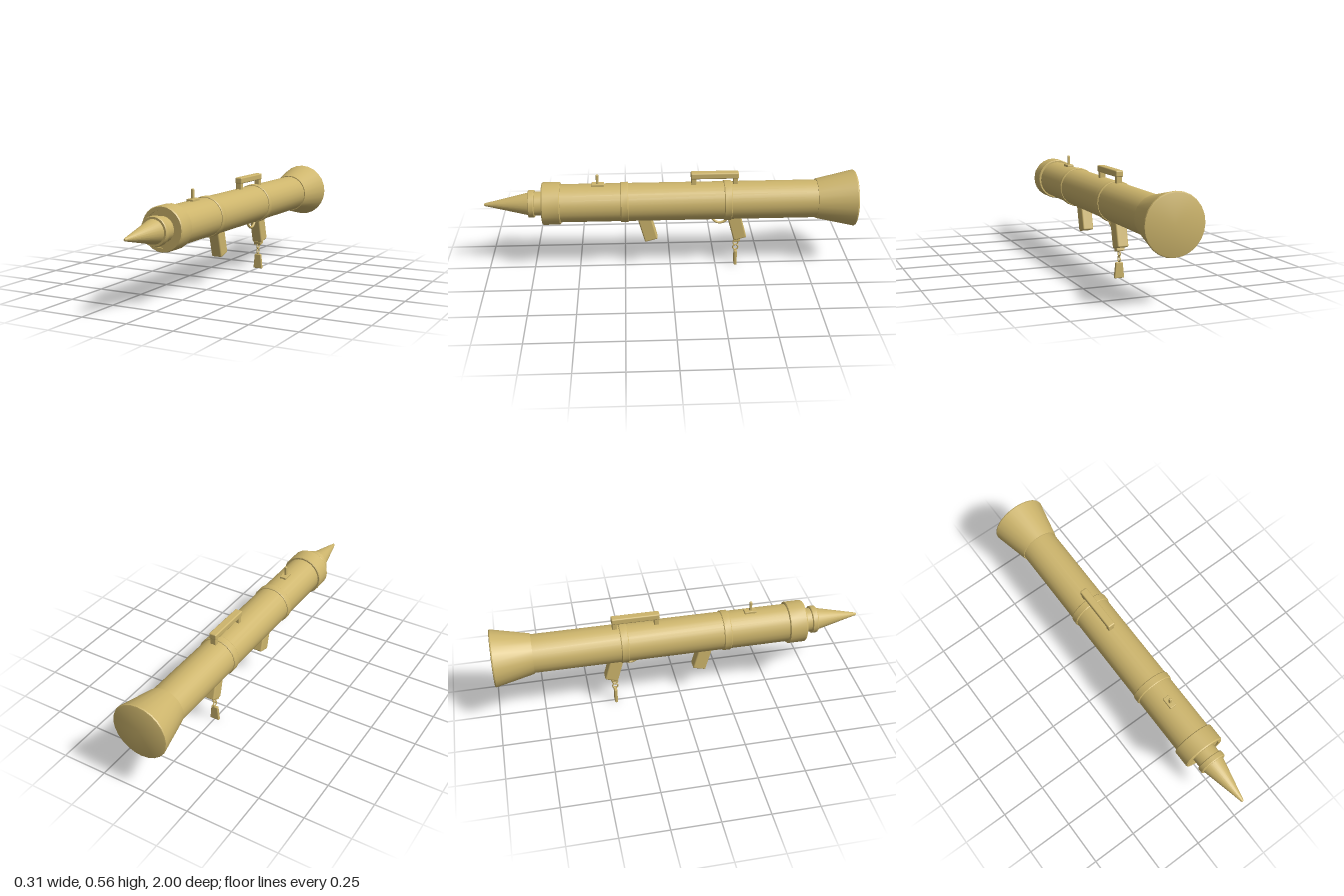
import * as THREE from 'three';
import { toCreasedNormals } from 'three/addons/utils/BufferGeometryUtils.js';
import { RoundedBoxGeometry } from 'three/addons/geometries/RoundedBoxGeometry.js';

const AXIS = 0.39; // height of the tube's centre line

export function createModel() {
  const model = new THREE.Group();
  const brass = new THREE.MeshStandardMaterial({ color: 0xcdb56c });
  brass.name = 'sand gold';

  function add(name, geometry, x, y, z, tilt = 0) {
    const mesh = new THREE.Mesh(geometry, brass);
    mesh.name = name;
    mesh.position.set(x, y, z);
    mesh.rotation.x = tilt;
    model.add(mesh);
    return mesh;
  }

  // Turned part around the centre line, profile as [radius, z] from back to front
  function turned(name, profile) {
    const points = profile.map(([r, z]) => new THREE.Vector2(r, z));
    const geometry = new THREE.LatheGeometry(points, 24).rotateX(Math.PI / 2);
    return add(name, toCreasedNormals(geometry, 0.5), 0, AXIS, 0);
  }

  const box = (w, h, d, r) => new RoundedBoxGeometry(w, h, d, 2, r);

  // Launch tube and flared exhaust
  turned('tube', [[0, -0.8], [0.103, -0.8], [0.103, 0.6], [0, 0.6]]);
  turned('exhaustBell', [[0, -1], [0.146, -1], [0.151, -0.998], [0.153, -0.992],
    [0.108, -0.79], [0.1, -0.79]]);

  // Raised bands
  for (const [name, z] of [['frontBand', 0.247], ['rearBand', -0.308]]) {
    turned(name, [[0.1, z - 0.021], [0.106, z - 0.021], [0.109, z - 0.017],
      [0.109, z + 0.017], [0.106, z + 0.021], [0.1, z + 0.021]]);
  }

  // Muzzle ring with a shallow recessed face
  turned('muzzleRing', [[0.1, 0.59], [0.111, 0.59], [0.115, 0.594], [0.115, 0.682],
    [0.111, 0.688], [0.092, 0.688], [0.092, 0.68], [0, 0.68]]);

  // Warhead: neck, collar and pointed nose
  turned('warheadNeck', [[0.065, 0.67], [0.065, 0.735]]);
  turned('warheadCollar', [[0.06, 0.73], [0.072, 0.73], [0.075, 0.734], [0.075, 0.758],
    [0.072, 0.763], [0, 0.763]]);
  turned('warheadNose', [[0.062, 0.76], [0.008, 0.994], [0.005, 1], [0, 1]]);

  // Slanted grips
  add('frontGrip', box(0.061, 0.18, 0.073, 0.008), 0, 0.252, 0.128, 0.265);
  add('rearGrip', box(0.061, 0.18, 0.073, 0.008), 0, 0.25, -0.36, 0.265);

  // Trigger guard
  add('triggerGuard', new THREE.TorusGeometry(0.045, 0.007, 8, 28).rotateY(Math.PI / 2),
    0, 0.3, -0.272);

  // Carrying handle on two posts
  add('handleBar', box(0.042, 0.034, 0.257, 0.007), 0, 0.54, -0.238);
  for (const z of [-0.126, -0.35]) {
    add('handlePost', box(0.032, 0.06, 0.026, 0.004), 0, 0.506, z);
  }

  // Front sight
  add('sightBase', box(0.038, 0.016, 0.066, 0.003), 0, 0.495, 0.387);
  add('sightPost', box(0.014, 0.06, 0.014, 0.004), 0, 0.523, 0.39);

  // Lug, chain links and hanging tag below the rear grip
  add('chainLug', box(0.044, 0.022, 0.036, 0.004), 0, 0.153, -0.366, 0.265);
  for (const y of [0.13, 0.1]) {
    add('chainLink', new THREE.TorusGeometry(0.014, 0.004, 8, 18).rotateY(Math.PI / 2),
      0, y, -0.362);
  }
  const tag = box(0.046, 0.083, 0.016, 0.004);
  const corners = tag.attributes.position;
  for (let i = 0; i < corners.count; i++) {
    corners.setX(i, corners.getX(i) * (1 - corners.getY(i) * 4.6));
  }
  add('hangingTag', tag, 0, 0.0415, -0.362);

  return model;
}
